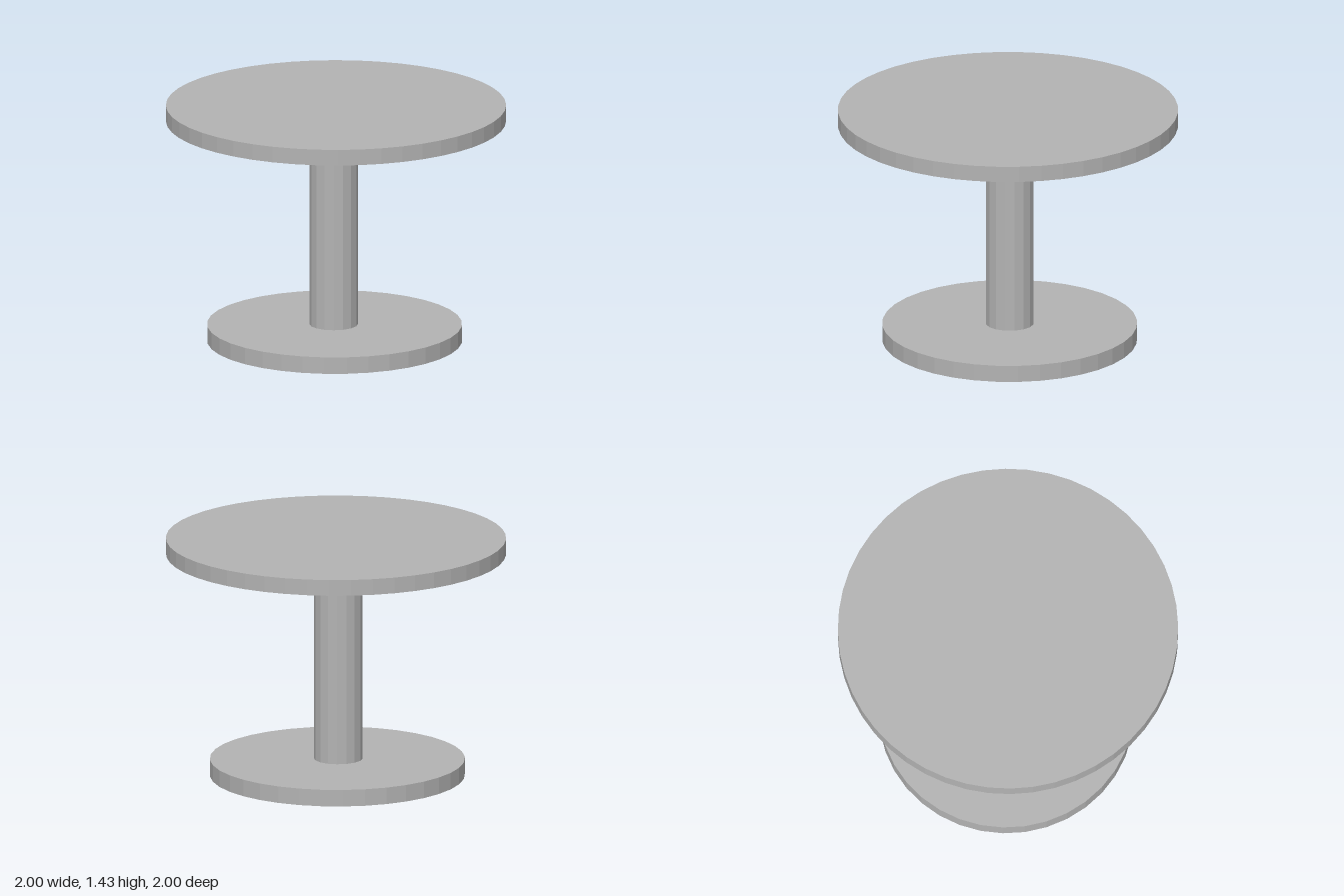
import * as THREE from 'three';

export function createModel() {
  const model = new THREE.Group();
  const grey = new THREE.MeshStandardMaterial({ color: 0xb3b3b3, flatShading: true });
  grey.name = 'grey';

  // Upright disc or post spanning bottom..top
  function addRound(name, radius, bottom, top, sides, x) {
    const mesh = new THREE.Mesh(new THREE.CylinderGeometry(radius, radius, top - bottom, sides), grey);
    mesh.name = name;
    mesh.position.set(x, (bottom + top) / 2, 0);
    model.add(mesh);
    return mesh;
  }

  addRound('base', 0.75, 0, 0.1, 36, -0.012);
  addRound('column', 0.143, 0.1, 1.34, 16, -0.015).position.z = 0.004;
  addRound('tableTop', 1, 1.34, 1.435, 48, 0);

  return model;
}
